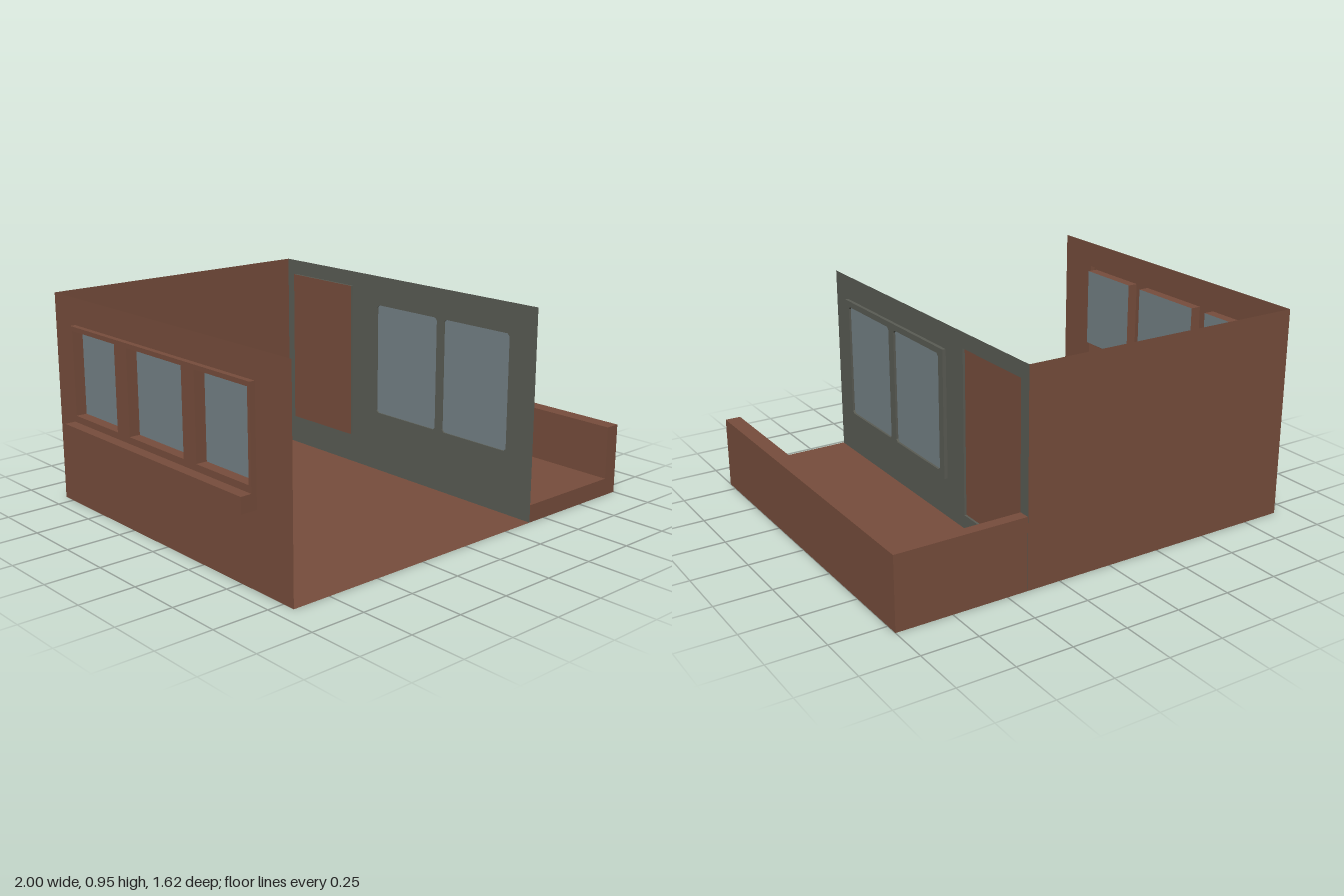
import * as THREE from 'three';

const paint = (name, color) => {
  const m = new THREE.MeshStandardMaterial({ color, side: THREE.DoubleSide });
  m.name = name;
  return m;
};

export function createModel() {
  const model = new THREE.Group();
  model.name = 'roomWithBalcony';
  const brick = paint('brickBrown', 0x774d3c);
  const grey = paint('wallGrey', 0x5a5c54);
  const glass = paint('windowGlass', 0x748186);

  const add = (name, geometry, material) => {
    const mesh = new THREE.Mesh(geometry, material);
    mesh.name = name;
    model.add(mesh);
    return mesh;
  };

  // Box between two corners; skip lists faces left open (+x -x +y -y +z -z = 0..5)
  const box = (name, a, b, material, skip = []) => {
    const g = new THREE.BoxGeometry(b[0] - a[0], b[1] - a[1], b[2] - a[2]);
    g.translate((a[0] + b[0]) / 2, (a[1] + b[1]) / 2, (a[2] + b[2]) / 2);
    if (skip.length) {
      g.setIndex(Array.from(g.index.array).filter((_, i) => !skip.includes(Math.floor(i / 6))));
      g.clearGroups();
    }
    return add(name, g, material);
  };

  // Rectangle [z0, z1, y0, y1] with optional cut corners
  const trace = (path, [z0, z1, y0, y1], c = 0) => {
    path.moveTo(z0 + c, y0).lineTo(z1 - c, y0);
    if (c) path.lineTo(z1, y0 + c);
    path.lineTo(z1, y1 - c);
    if (c) path.lineTo(z1 - c, y1);
    path.lineTo(z0 + c, y1);
    if (c) path.lineTo(z0, y1 - c);
    path.lineTo(z0, y0 + c);
    path.closePath();
    return path;
  };

  // Upright sheet facing sideways at x, with holes; depth grows towards -x
  const sheet = (name, x, rect, material, holes = [], depth = 0, cut = 0) => {
    const shape = trace(new THREE.Shape(), rect);
    holes.forEach(h => shape.holes.push(trace(new THREE.Path(), h, cut)));
    const g = depth
      ? new THREE.ExtrudeGeometry(shape, { depth, bevelEnabled: false })
      : new THREE.ShapeGeometry(shape);
    g.rotateY(-Math.PI / 2).translate(x, 0, 0);
    return add(name, g, material);
  };

  const Z = 0.81, H = 0.95, XL = -0.925, XR = 0.405;

  // Room floor and back wall
  const floor = new THREE.PlaneGeometry(XR + 0.002 - XL, 2 * Z).rotateX(-Math.PI / 2);
  add('roomFloor', floor.translate((XL + XR + 0.002) / 2, 0, 0), brick);
  const back = new THREE.PlaneGeometry(XR - XL, H);
  add('backWall', back.translate((XL + XR) / 2, H / 2, -Z), brick);

  // Side wall with a bay opening
  const bay = [-0.65, 0.6, 0.33, 0.83];
  sheet('windowWall', XL, [-Z, Z, 0, H], brick, [bay]);

  // Projecting frame and sill, both hollow towards the room
  const lights = [[-0.635, -0.305], [-0.215, 0.17], [0.255, 0.585]].map(z => [...z, 0.43, 0.81]);
  sheet('bayFrameFace', -0.95, [bay[0], bay[1], 0.4, 0.83], brick, lights);
  box('bayFrameSides', [-0.95, 0.4, bay[0]], [XL, 0.83, bay[1]], brick, [0, 1, 3]);
  box('sill', [-1, 0.33, bay[0]], [XL, 0.4, bay[1]], brick, [0, 2]);
  const sillTop = new THREE.PlaneGeometry(0.05, bay[1] - bay[0]).rotateX(-Math.PI / 2);
  add('sillTop', sillTop.translate(-0.975, 0.4, (bay[0] + bay[1]) / 2), brick);

  // Deep window reveals ending in glass
  lights.forEach(r => {
    box('windowReveal', [-0.95, r[2], r[0]], [-0.9, r[3], r[1]], brick, [0, 1]);
    sheet('sideGlass', -0.9, r, glass);
  });

  // Grey wall towards the balcony, with door and double window
  const door = [-0.755, -0.33, 0.14, 0.88];
  const win = [-0.195, 0.695, 0.26, 0.84];
  const panes = [[-0.158, 0.23], [0.275, 0.66]].map(z => [...z, 0.287, 0.813]);
  sheet('balconyWall', XR, [-Z, Z, 0, H], grey, [door, win]);
  box('doorReveal', [0.395, door[2], door[0]], [XR, door[3], door[1]], grey, [0, 1]);
  sheet('door', 0.395, door, brick);
  sheet('doubleWindowFrame', 0.421, win, grey, panes, 0.016, 0.012);
  panes.forEach(r => sheet('balconyGlass', 0.411, r, glass));

  // Balcony slab and parapets, open at the front
  const XB = XR + 0.002;
  box('balconyFloor', [XB, 0, -0.76], [0.93, 0.08, Z], brick);
  box('sideParapet', [0.93, 0, -Z], [1, 0.325, Z], brick);
  box('backParapet', [XB, 0, -Z], [0.93, 0.325, -0.76], brick);

  return model;
}
